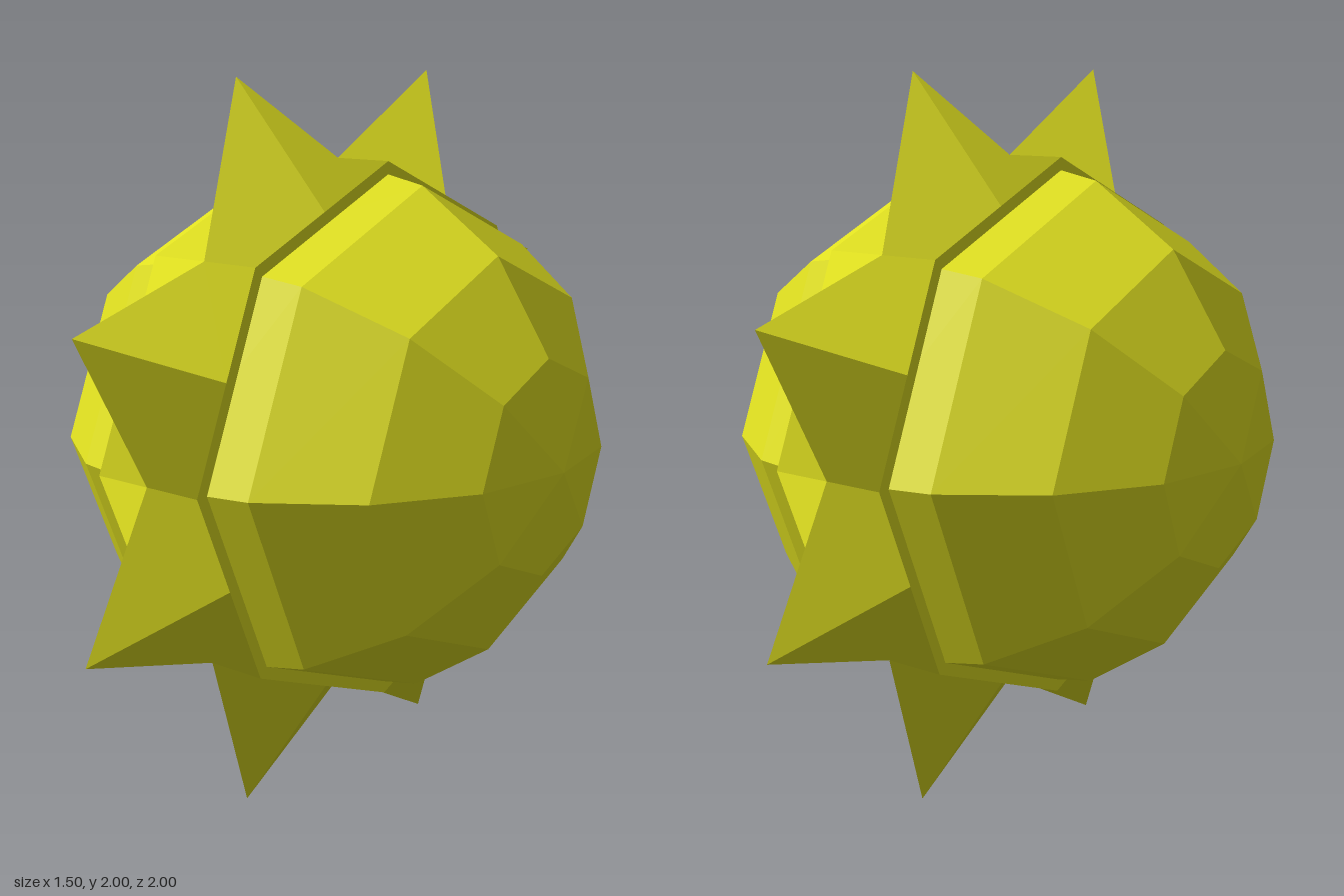
import * as THREE from 'three';

const SIDES = 8;
const STEP = (Math.PI * 2) / SIDES;
const RING_RADIUS = 0.771;
const RING_HALF_WIDTH = 0.173;
const MID_RADIUS = RING_RADIUS * Math.cos(STEP / 2);
const TIP_RADIUS = 1 / Math.cos(STEP / 2);

// Point at distance r from the x axis, at angle a from straight up
const polar = (x, r, a) => new THREE.Vector3(x, r * Math.cos(a), r * Math.sin(a));

// One spike: four folded quads from the tip down to the ring's edges
function spikeGeometry(angle) {
  const positions = [];
  const normals = [];
  for (const side of [1, -1]) {
    for (const dir of [1, -1]) {
      const x = side * RING_HALF_WIDTH;
      const corner = angle + (dir * STEP) / 2;
      const q = [
        polar(0, TIP_RADIUS, angle),
        polar(0, RING_RADIUS, corner),
        polar(x, RING_RADIUS, corner),
        polar(x, MID_RADIUS, angle),
      ];
      if (side * dir < 0) q.push(...q.splice(1).reverse());
      // One shared normal keeps each folded quad evenly shaded
      const normal = q[2].clone().sub(q[0]).cross(q[3].clone().sub(q[1])).normalize();
      for (const i of [0, 1, 3, 1, 2, 3]) {
        positions.push(...q[i].toArray());
        normals.push(...normal.toArray());
      }
    }
  }
  const geometry = new THREE.BufferGeometry();
  geometry.setAttribute('position', new THREE.Float32BufferAttribute(positions, 3));
  geometry.setAttribute('normal', new THREE.Float32BufferAttribute(normals, 3));
  return geometry;
}

export function createModel() {
  const group = new THREE.Group();
  const smooth = new THREE.MeshStandardMaterial({ color: 0xe0e020 });
  const faceted = new THREE.MeshStandardMaterial({ color: 0xe0e020, flatShading: true });

  const add = (name, geometry, material) => {
    const mesh = new THREE.Mesh(geometry, material);
    mesh.name = name;
    mesh.position.y = 1;
    group.add(mesh);
    return mesh;
  };

  // Low-poly ball with its poles on the x axis
  const ball = new THREE.SphereGeometry(1, SIDES, 8);
  ball.scale(RING_RADIUS, 0.75, RING_RADIUS);
  ball.rotateZ(-Math.PI / 2);
  add('ball', ball, faceted);

  // Flat side faces of the ring around the ball
  for (const side of [1, -1]) {
    const face = new THREE.CircleGeometry(RING_RADIUS, SIDES);
    face.rotateY((side * Math.PI) / 2);
    face.translate(side * RING_HALF_WIDTH, 0, 0);
    add(side > 0 ? 'ringSideLeft' : 'ringSideRight', face, faceted);
  }

  // Spikes all around the ring
  for (let i = 0; i < SIDES; i++) {
    add(`spike${i + 1}`, spikeGeometry((i + 0.5) * STEP), smooth);
  }
  return group;
}
